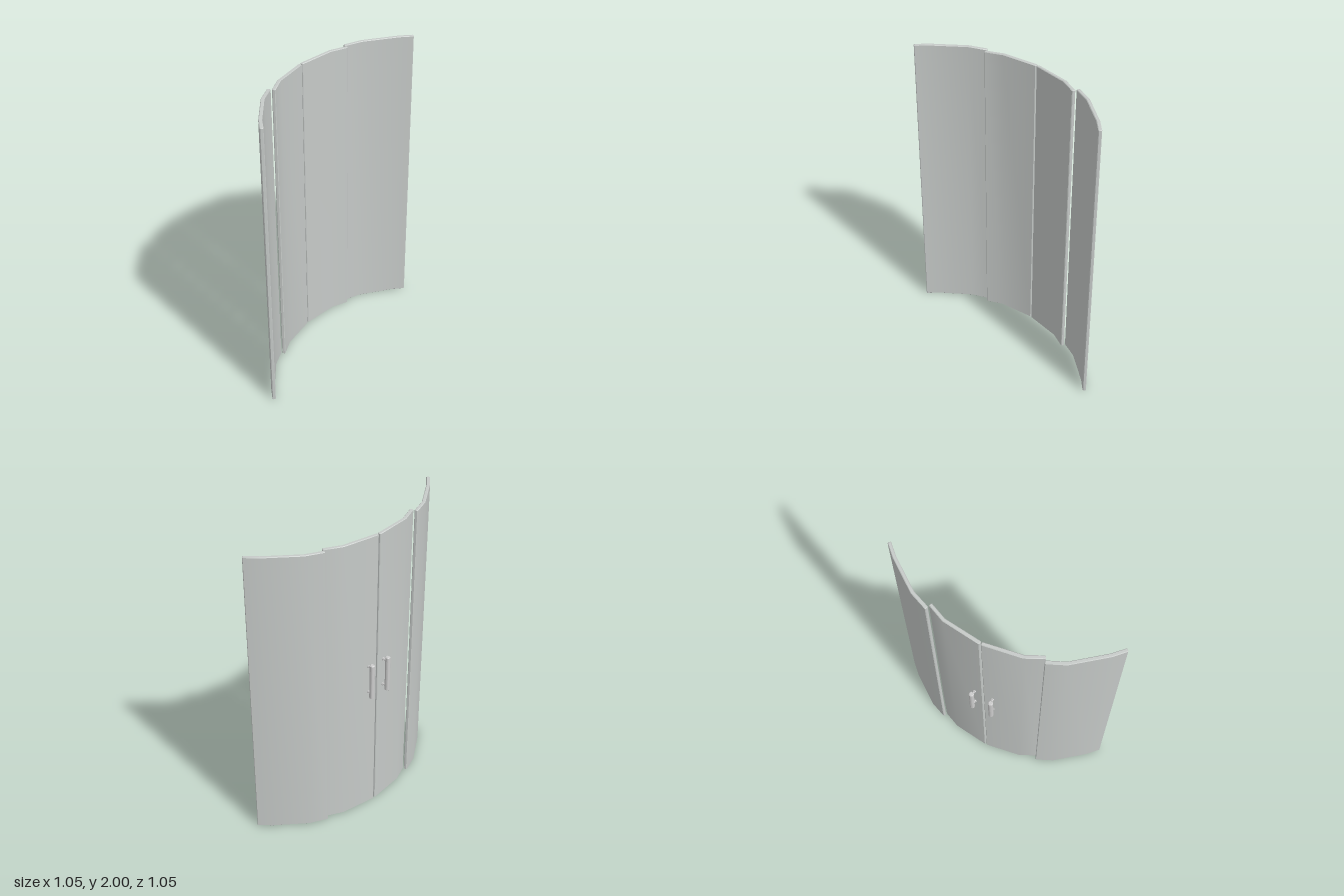
import * as THREE from 'three';
import { toCreasedNormals } from 'three/addons/utils/BufferGeometryUtils.js';

const HEIGHT = 2, HALF = 0.011, BEVEL = 0.004;

// Plan centre lines as [x, z]; the other half is mirrored by swapping x and z
const FIXED = [[0.522, -0.513], [0.425, -0.513], [0.186, -0.481], [0.072, -0.435]];
const DOOR = [[0.088, -0.41], [-0.025, -0.368], [-0.217, -0.222]];
const HANDLE_FOOT = [-0.171, -0.255];
const swap = ([x, z]) => [z, x];

// Thickened plan outline with mitred bends and chamfered ends
function outline(path) {
  const pts = path.map(([x, z]) => new THREE.Vector2(x, -z));
  const last = pts.length - 1;
  const sides = [[], []];
  pts.forEach((p, i) => {
    const a = pts[Math.max(i - 1, 0)], b = pts[Math.min(i + 1, last)];
    const dIn = (i ? p.clone().sub(a) : b.clone().sub(p)).normalize();
    const dOut = (i < last ? b.clone().sub(p) : p.clone().sub(a)).normalize();
    const dir = dIn.clone().add(dOut).normalize();
    const n = new THREE.Vector2(-dir.y, dir.x);
    const w = HALF / dir.dot(dIn);
    [1, -1].forEach((s, k) => {
      const at = (along, across) => p.clone().addScaledVector(dir, along).addScaledVector(n, s * across);
      if (i === 0) sides[k].push(at(0, HALF - BEVEL), at(BEVEL, HALF));
      else if (i === last) sides[k].push(at(-BEVEL, HALF), at(0, HALF - BEVEL));
      else sides[k].push(at(0, w));
    });
  });
  return new THREE.Shape([...sides[0], ...sides[1].reverse()]);
}

function panel(path, name, material) {
  const geo = new THREE.ExtrudeGeometry(outline(path), {
    depth: HEIGHT - 2 * BEVEL, bevelEnabled: true, bevelSegments: 1,
    bevelSize: BEVEL, bevelOffset: -BEVEL, bevelThickness: BEVEL,
  });
  geo.rotateX(-Math.PI / 2).translate(0, BEVEL, 0);
  const mesh = new THREE.Mesh(toCreasedNormals(geo, 0.6), material);
  mesh.name = name;
  return mesh;
}

// Vertical grip bar on two standoffs, reaching out along +z before turning
function handle([x, z], [nx, nz], name, material) {
  const group = new THREE.Group();
  group.name = name;
  const add = (geo, part, y, out, lying) => {
    const mesh = new THREE.Mesh(geo, material);
    mesh.name = part;
    mesh.position.set(0, y, out);
    if (lying) mesh.rotation.x = Math.PI / 2;
    group.add(mesh);
  };
  const bar = [[0, -0.125], [0.011, -0.125], [0.016, -0.12], [0.016, 0.12], [0.011, 0.125], [0, 0.125]];
  const barGeo = new THREE.LatheGeometry(bar.map(p => new THREE.Vector2(...p)), 20);
  add(toCreasedNormals(barGeo, 0.6), 'gripBar', 0, 0.048);
  for (const y of [-0.095, 0.095]) {
    add(new THREE.CylinderGeometry(0.007, 0.007, 0.045, 14), 'standoff', y, 0.026, true);
    add(new THREE.CylinderGeometry(0.012, 0.012, 0.01, 16), 'standoffFlange', y, 0.014, true);
  }
  group.position.set(x, 1.01, z);
  group.rotation.y = Math.atan2(nx, nz);
  return group;
}

export function createModel() {
  const glass = new THREE.MeshStandardMaterial({ color: 0xc6cac8 });
  glass.name = 'pale grey glass';
  const metal = new THREE.MeshStandardMaterial({ color: 0xcccccc });
  metal.name = 'light metal';

  // Outward normal of the door's flat wing, where the handle sits
  const [, [ax, az], [bx, bz]] = DOOR;
  const len = Math.hypot(bx - ax, bz - az);
  const normal = [-(bz - az) / len, (bx - ax) / len];

  const model = new THREE.Group();
  model.name = 'curvedScreen';
  model.add(
    panel(FIXED, 'leftFixedPanel', glass),
    panel(DOOR, 'leftDoor', glass),
    panel(FIXED.map(swap), 'rightFixedPanel', glass),
    panel(DOOR.map(swap), 'rightDoor', glass),
    handle(HANDLE_FOOT, normal, 'leftHandle', metal),
    handle(swap(HANDLE_FOOT), swap(normal), 'rightHandle', metal),
  );
  return model;
}
